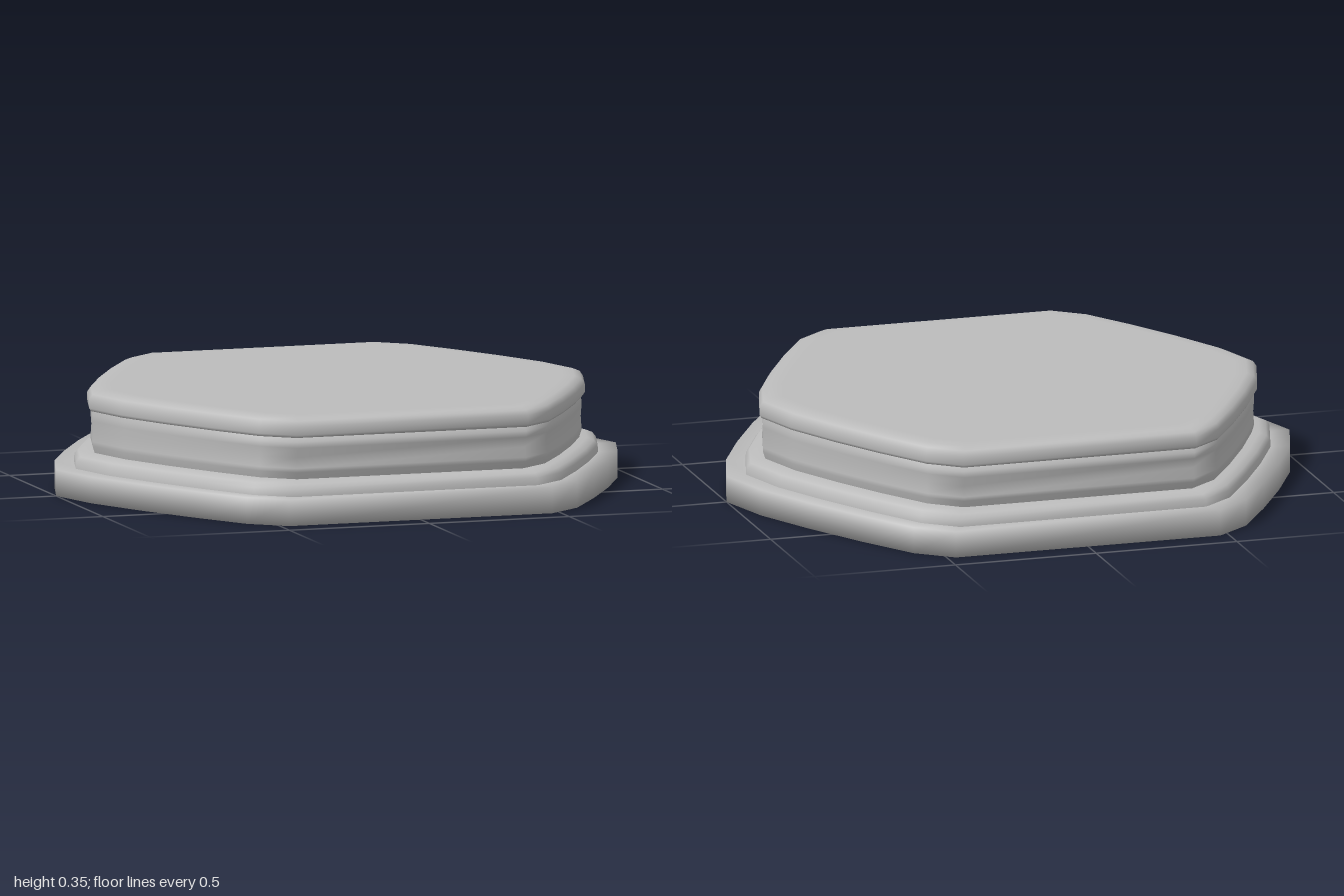
import * as THREE from 'three';

// One quarter of the plan: pointed ends on x, slightly bowed long sides, clipped corners
const QUARTER = [[1, 0], [0.94, 0.2], [0.835, 0.41], [0.715, 0.62], [0.59, 0.815], [0.47, 0.91]];
const HALF_DEPTH = 0.91;

// Mirror the quarter into a closed outline with unit half-extents
function makeOutline() {
  const q = QUARTER.map(([x, z]) => [x, z / HALF_DEPTH]);
  const back = [...q].reverse();
  return [
    ...q,
    ...back.map(([x, z]) => [-x, z]),
    ...q.slice(1).map(([x, z]) => [-x, -z]),
    ...back.slice(0, -1).map(([x, z]) => [x, -z]),
  ];
}

// Skin rings of [half width, height, half depth], listed from the bottom outward and up
function loft(name, rings, material) {
  const outline = makeOutline();
  const n = outline.length;
  const positions = [];
  const index = [];
  for (const [w, y, d] of rings) {
    for (const [x, z] of outline) positions.push(x * w, y, z * d);
  }
  for (let j = 0; j < rings.length - 1; j++) {
    for (let i = 0; i < n; i++) {
      const a = j * n + i;
      const b = j * n + ((i + 1) % n);
      const c = a + n;
      const d = b + n;
      if (rings[j + 1][0] > 0) index.push(b, c, d);
      if (rings[j][0] > 0) index.push(a, c, b);
    }
  }
  const geometry = new THREE.BufferGeometry();
  geometry.setAttribute('position', new THREE.Float32BufferAttribute(positions, 3));
  geometry.setIndex(index);
  geometry.computeVertexNormals();
  const mesh = new THREE.Mesh(geometry, material);
  mesh.name = name;
  return mesh;
}

export function createModel() {
  const group = new THREE.Group();
  group.name = 'hexagonalPlinth';
  const stone = new THREE.MeshStandardMaterial({ color: 0xbcbcbc });
  stone.name = 'grey stone';

  group.add(
    // Wide foot with a flat underside and a ledge
    loft('foot', [[0, 0, 0], [1, 0, 0.91], [1, 0.09, 0.91], [0.92, 0.09, 0.845]], stone),
    // Rounded step above the foot
    loft('step', [
      [0.93, 0.09, 0.855], [0.928, 0.115, 0.853], [0.915, 0.13, 0.84],
      [0.89, 0.14, 0.82], [0.85, 0.142, 0.78],
    ], stone),
    // Waisted neck with shallow ripples
    loft('neck', [
      [0.862, 0.14, 0.795], [0.87, 0.165, 0.803], [0.87, 0.18, 0.808], [0.868, 0.215, 0.798],
      [0.87, 0.25, 0.812], [0.87, 0.27, 0.81], [0.865, 0.288, 0.798],
    ], stone),
    // Overhanging lip with eased edge and flat top
    loft('topSlab', [
      [0.84, 0.284, 0.77], [0.875, 0.285, 0.81], [0.882, 0.295, 0.817], [0.882, 0.325, 0.817],
      [0.87, 0.342, 0.807], [0.845, 0.352, 0.785], [0.8, 0.353, 0.74], [0, 0.353, 0],
    ], stone),
  );
  return group;
}
